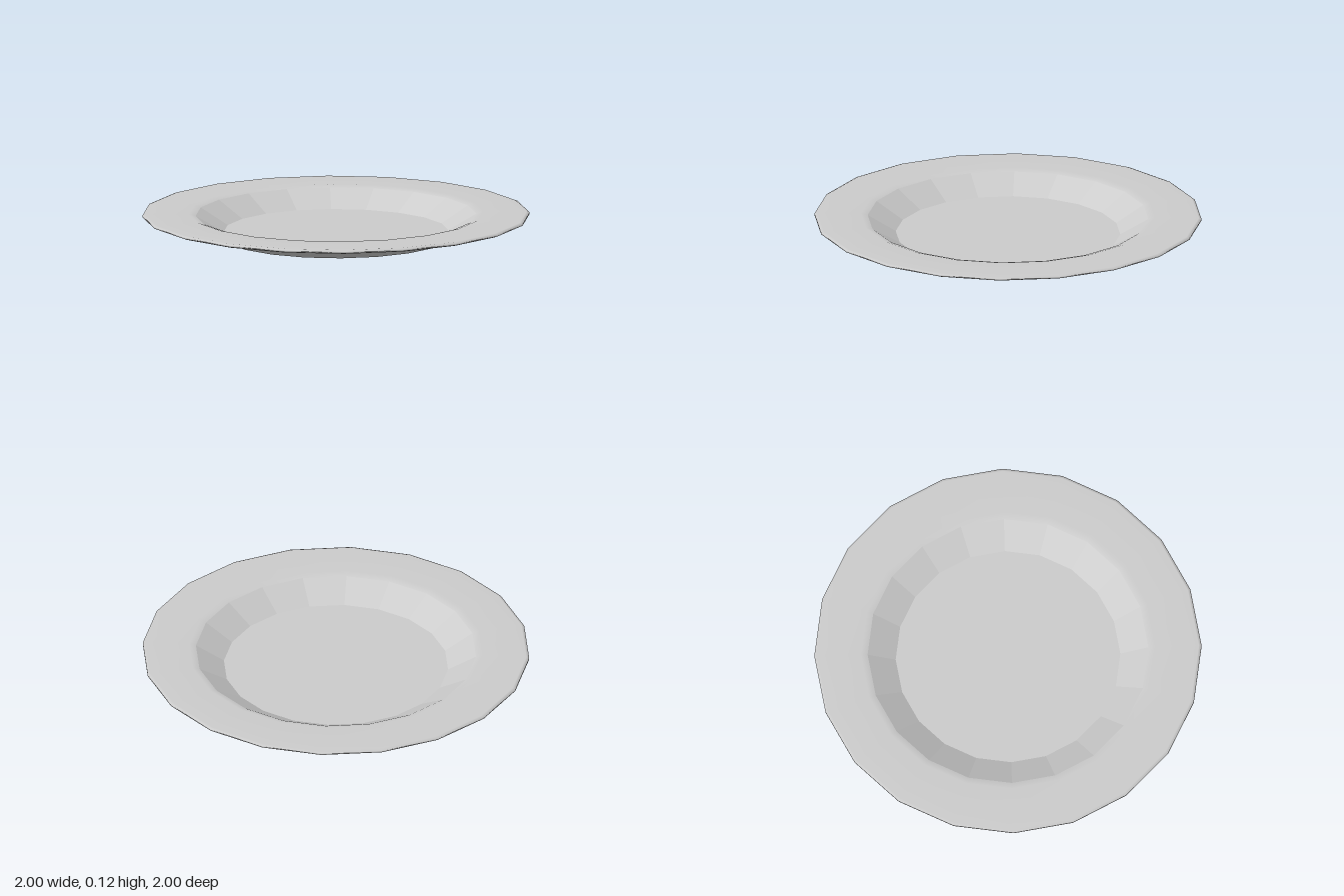
import * as THREE from 'three';

const SIDES = 20;

// Revolve a [radius, height] profile into a named 20-sided mesh
function ring(name, profile, flatShading) {
  const points = profile.map(([r, y]) => new THREE.Vector2(r, y));
  const material = new THREE.MeshStandardMaterial({ color: 0xcccccc, flatShading });
  const mesh = new THREE.Mesh(new THREE.LatheGeometry(points, SIDES), material);
  mesh.name = name;
  return mesh;
}

export function createModel() {
  const plate = new THREE.Group();
  plate.name = 'plate';
  plate.add(
    // Shallow recess inside the foot
    ring('footRecess', [[0, 0.012], [0.42, 0.012], [0.485, 0]], true),
    // Foot, sloping outer wall and flat underside of the rim
    ring('underside', [[0.485, 0], [0.6, 0], [0.76, 0.1], [0.985, 0.1]], true),
    // Bevelled outer edge and softly shaded upper rim
    ring('rim', [[0.985, 0.1], [1, 0.106], [1, 0.114], [0.985, 0.12], [0.76, 0.12], [0.725, 0.11]], false),
    // Faceted inner slope
    ring('wellWall', [[0.725, 0.11], [0.58, 0.025]], true),
    // Flat eating surface
    ring('wellFloor', [[0.58, 0.025], [0, 0.025]], true),
  );
  return plate;
}
